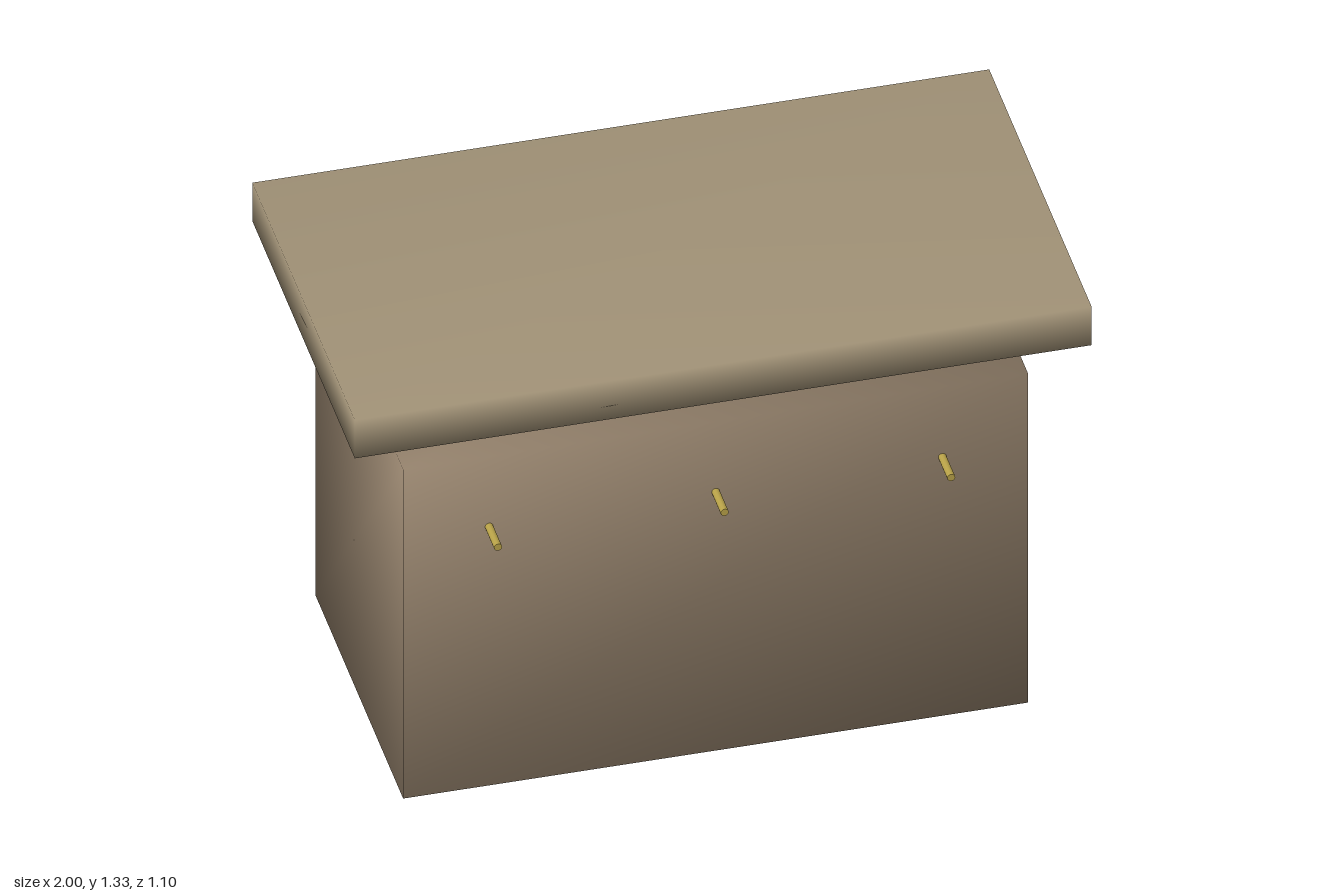
import * as THREE from 'three';
import { mergeVertices } from 'three/addons/utils/BufferGeometryUtils.js';

const material = (color) => new THREE.MeshStandardMaterial({ color });

// Box between two corners, with normals shared across its edges for soft shading
function softBox(name, [x0, y0, z0], [x1, y1, z1], mat) {
  let geo = new THREE.BoxGeometry(x1 - x0, y1 - y0, z1 - z0);
  geo.deleteAttribute('normal');
  geo.deleteAttribute('uv');
  geo = mergeVertices(geo);
  geo.computeVertexNormals();
  const mesh = new THREE.Mesh(geo, mat);
  mesh.name = name;
  mesh.position.set((x0 + x1) / 2, (y0 + y1) / 2, (z0 + z1) / 2);
  return mesh;
}

export function createModel() {
  const model = new THREE.Group();
  model.name = 'liddedBox';
  const bodyMat = material(0x8f7d68);
  const lidMat = material(0xa09176);
  const brassMat = material(0xb8a248);

  // Body and the lid hovering above it
  model.add(softBox('body', [-0.848, 0, -0.47], [0.848, 1.077, 0.455], bodyMat));
  model.add(softBox('lid', [-1, 1.2, -0.545], [1, 1.325, 0.535], lidMat));

  // Inlaid strips, practically flush with both ends of the body
  for (const side of [-1, 1]) {
    const x = side * 0.8375;
    model.add(softBox(side > 0 ? 'leftStrip' : 'rightStrip',
      [x - 0.01, 0.76, -0.395], [x + 0.01, 0.92, 0.38], lidMat));
  }

  // Row of brass pegs on the front
  const pegGeo = new THREE.CylinderGeometry(0.011, 0.011, 0.1, 12).rotateX(Math.PI / 2);
  for (const x of [-0.615, 0, 0.615]) {
    const peg = new THREE.Mesh(pegGeo, brassMat);
    peg.name = 'peg';
    peg.position.set(x, 0.848, 0.5);
    model.add(peg);
  }
  return model;
}
